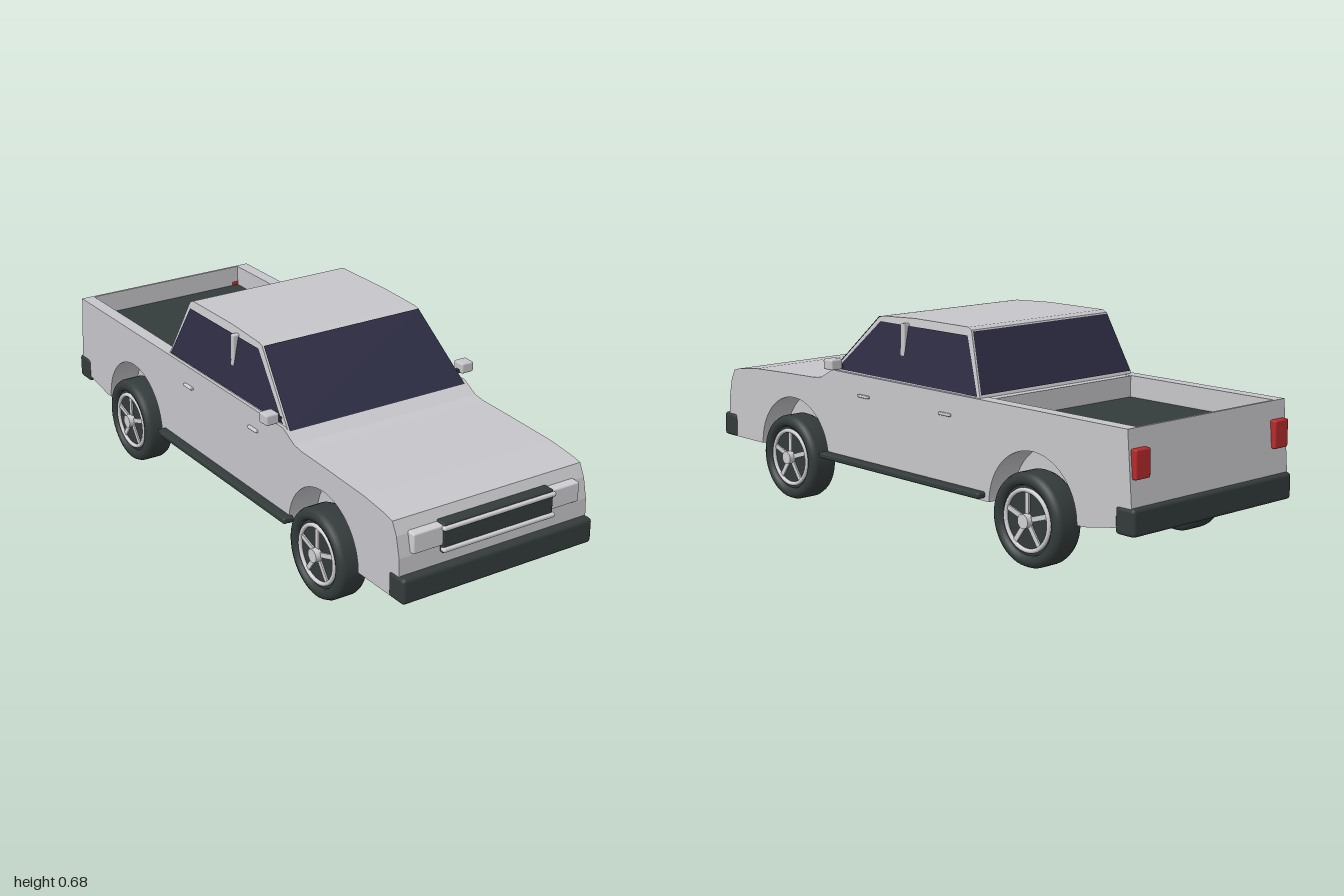
import * as THREE from 'three';
import { RoundedBoxGeometry } from 'three/addons/geometries/RoundedBoxGeometry.js';

const mat = (name, color, side = THREE.FrontSide) => {
  const m = new THREE.MeshStandardMaterial({ color, side });
  m.name = name;
  return m;
};

export function createModel() {
  const paint = mat('paint', 0xc6c6ca);
  const dark = mat('darkRubber', 0x343b3b);
  const glass = mat('glass', 0x2d2c44, THREE.DoubleSide);
  const bright = mat('brightTrim', 0xcfcfd3);
  const red = mat('tailRed', 0xb82a2c);

  const truck = new THREE.Group();
  truck.name = 'pickupTruck';

  const add = (name, geometry, material, parent = truck) => {
    const mesh = new THREE.Mesh(geometry, material);
    mesh.name = name;
    parent.add(mesh);
    return mesh;
  };
  // Box given by its min and max corners, optionally with rounded edges
  const box = (name, a, b, material, r = 0, parent = truck) => {
    const s = a.map((v, i) => b[i] - v);
    const g = r ? new RoundedBoxGeometry(...s, 2, r) : new THREE.BoxGeometry(...s);
    g.translate(...a.map((v, i) => (v + b[i]) / 2));
    return add(name, g, material, parent);
  };
  // Same box on both sides of the truck
  const pair = (name, a, b, material, r) => {
    box(name + 'Left', a, b, material, r);
    box(name + 'Right', [-b[0], a[1], a[2]], [-a[0], b[1], b[2]], material, r);
  };
  // Extrude a (z, y) side profile between two x positions
  const slab = (shape, x0, x1) =>
    new THREE.ExtrudeGeometry(shape, { depth: x1 - x0, bevelEnabled: false, curveSegments: 28 })
      .rotateY(-Math.PI / 2).translate(x1, 0, 0);

  // Lower body: side profile with optional wheel arches and cargo bed
  const AXLE = 0.585;
  const bodyProfile = (arches, bed) => {
    const s = new THREE.Shape();
    s.moveTo(-0.94, 0.19);
    s.lineTo(-0.8, 0.165);
    if (arches) for (const z of [-AXLE, AXLE]) {
      s.lineTo(z - 0.187, 0.165);
      s.absarc(z, 0.165, 0.187, Math.PI, 0, true);
    }
    [[0.93, 0.165], [0.972, 0.24], [0.97, 0.3], [0.955, 0.365], [0.935, 0.405], [0.9, 0.413],
      [0.8, 0.425], [0.6, 0.433], [0.47, 0.437], [0.43, 0.443], [0.37, 0.475]]
      .forEach(p => s.lineTo(...p));
    if (bed) [[-0.375, 0.475], [-0.375, 0.4], [-0.957, 0.4], [-0.957, 0.477]].forEach(p => s.lineTo(...p));
    [[-0.966, 0.477], [-0.985, 0.25]].forEach(p => s.lineTo(...p));
    s.closePath();
    return s;
  };
  add('bodyCore', slab(bodyProfile(false, true), -0.24, 0.24), paint);
  for (const [side, sx] of [['Left', 1], ['Right', -1]]) {
    const span = (a, b) => (sx > 0 ? [a, b] : [-b, -a]);
    add('innerFender' + side, slab(bodyProfile(true, true), ...span(0.24, 0.3)), paint);
    add('bodySide' + side, slab(bodyProfile(true, false), ...span(0.3, 0.345)), paint);
  }
  box('bedFloor', [-0.299, 0.398, -0.956], [0.299, 0.406, -0.376], dark);

  // Cab: unit-width profile tapered in towards the roof
  const halfWidth = y => 0.336 - (y - 0.465) * 0.19;
  const cabShape = new THREE.Shape([[-0.35, 0.465], [0.385, 0.455], [0.395, 0.455], [0.178, 0.667],
    [0.16, 0.672], [0, 0.68], [-0.25, 0.68], [-0.266, 0.672]].map(p => new THREE.Vector2(...p)));
  const cab = slab(cabShape, -1, 1);
  const pos = cab.attributes.position;
  for (let i = 0; i < pos.count; i++) pos.setX(i, pos.getX(i) * halfWidth(pos.getY(i)));
  cab.computeVertexNormals();
  add('cab', cab, paint);

  // Glass: flat four-cornered panes just off the cab surface
  const pane = (name, corners) => {
    const g = new THREE.BufferGeometry();
    g.setAttribute('position', new THREE.Float32BufferAttribute(corners.flat(), 3));
    g.setIndex([0, 1, 2, 0, 2, 3]);
    g.computeVertexNormals();
    add(name, g, glass);
  };
  const crossPane = (name, [z0, y0], [z1, y1]) => {
    const a = halfWidth(y0) - 0.003, b = halfWidth(y1) - 0.003;
    pane(name, [[-a, y0, z0], [a, y0, z0], [b, y1, z1], [-b, y1, z1]]);
  };
  crossPane('windshield', [0.388, 0.468], [0.183, 0.668]);
  crossPane('rearWindow', [-0.346, 0.485], [-0.271, 0.668]);
  const sidePane = (name, sx, zy) => {
    const c = zy.map(([z, y]) => [sx * (halfWidth(y) + 0.003), y, z]);
    pane(name, sx > 0 ? c.reverse() : c);
  };
  for (const [side, sx] of [['Left', 1], ['Right', -1]]) {
    sidePane('frontWindow' + side, sx, [[0.035, 0.48], [0.355, 0.48], [0.165, 0.655], [0.035, 0.655]]);
    sidePane('backWindow' + side, sx, [[-0.335, 0.48], [0.035, 0.48], [0.035, 0.655], [-0.255, 0.655]]);
  }
  pair('doorPillar', [0.295, 0.505, 0.025], [0.321, 0.662, 0.046], paint, 0.004);

  // Bumpers, sills, handles and mirrors
  box('frontBumper', [-0.35, 0.163, 0.925], [0.35, 0.245, 1], dark, 0.012);
  box('rearBumper', [-0.35, 0.17, -1], [0.35, 0.253, -0.925], dark, 0.012);
  pair('sill', [0.335, 0.174, -0.38], [0.374, 0.194, 0.415], dark, 0.007);
  for (const z of [0.2, -0.2])
    pair('doorHandle', [0.34, 0.404, z - 0.026], [0.355, 0.413, z + 0.026], bright, 0.003);
  pair('mirrorArm', [0.32, 0.485, 0.325], [0.36, 0.497, 0.34], dark);
  pair('mirror', [0.348, 0.485, 0.308], [0.394, 0.52, 0.354], paint, 0.006);

  // Front and rear lights, grille with bright bars
  pair('headlight', [0.19, 0.306, 0.94], [0.305, 0.371, 0.982], bright, 0.006);
  box('grille', [-0.202, 0.281, 0.94], [0.202, 0.376, 0.986], dark, 0.006);
  for (const y of [0.294, 0.362])
    box('grilleBar', [-0.206, y - 0.007, 0.975], [0.206, y + 0.007, 0.996], bright, 0.006);
  pair('tailLight', [0.275, 0.333, -0.992], [0.336, 0.42, -0.955], red, 0.005);

  // Wheel facing +x: open-backed tyre, dish, ring, spokes and hub
  const makeWheel = name => {
    const wheel = new THREE.Group();
    wheel.name = name;
    const profile = [[0.107, -0.028], [0.109, -0.047], [0.125, -0.05], [0.139, -0.044], [0.145, -0.03],
      [0.145, 0.03], [0.139, 0.044], [0.125, 0.05], [0.109, 0.047], [0.105, 0.03]];
    const tyre = new THREE.LatheGeometry(profile.map(p => new THREE.Vector2(...p)), 48);
    add('tyre', tyre.rotateZ(-Math.PI / 2), dark, wheel);
    const disc = (part, r, x0, x1, material) =>
      add(part, new THREE.CylinderGeometry(r, r, x1 - x0, 32).rotateZ(-Math.PI / 2)
        .translate((x0 + x1) / 2, 0, 0), material, wheel);
    disc('rimBack', 0.109, -0.03, 0.01, bright);
    disc('rimDish', 0.108, 0.01, 0.036, dark);
    disc('hub', 0.022, 0.03, 0.058, bright);
    add('rimRing', new THREE.TorusGeometry(0.092, 0.007, 10, 48).rotateY(Math.PI / 2)
      .translate(0.039, 0, 0), bright, wheel);
    for (let i = 0; i < 5; i++) {
      const spoke = box('spoke', [0.03, 0.015, -0.008], [0.041, 0.092, 0.008], bright, 0, wheel);
      spoke.rotation.x = i * Math.PI * 2 / 5;
    }
    return wheel;
  };
  for (const [end, z] of [['front', AXLE], ['rear', -AXLE]])
    for (const [side, sx] of [['Left', 1], ['Right', -1]]) {
      const wheel = makeWheel(end + 'Wheel' + side);
      wheel.position.set(sx * 0.325, 0.147, z);
      if (sx < 0) wheel.rotation.y = Math.PI;
      truck.add(wheel);
    }

  return truck;
}
